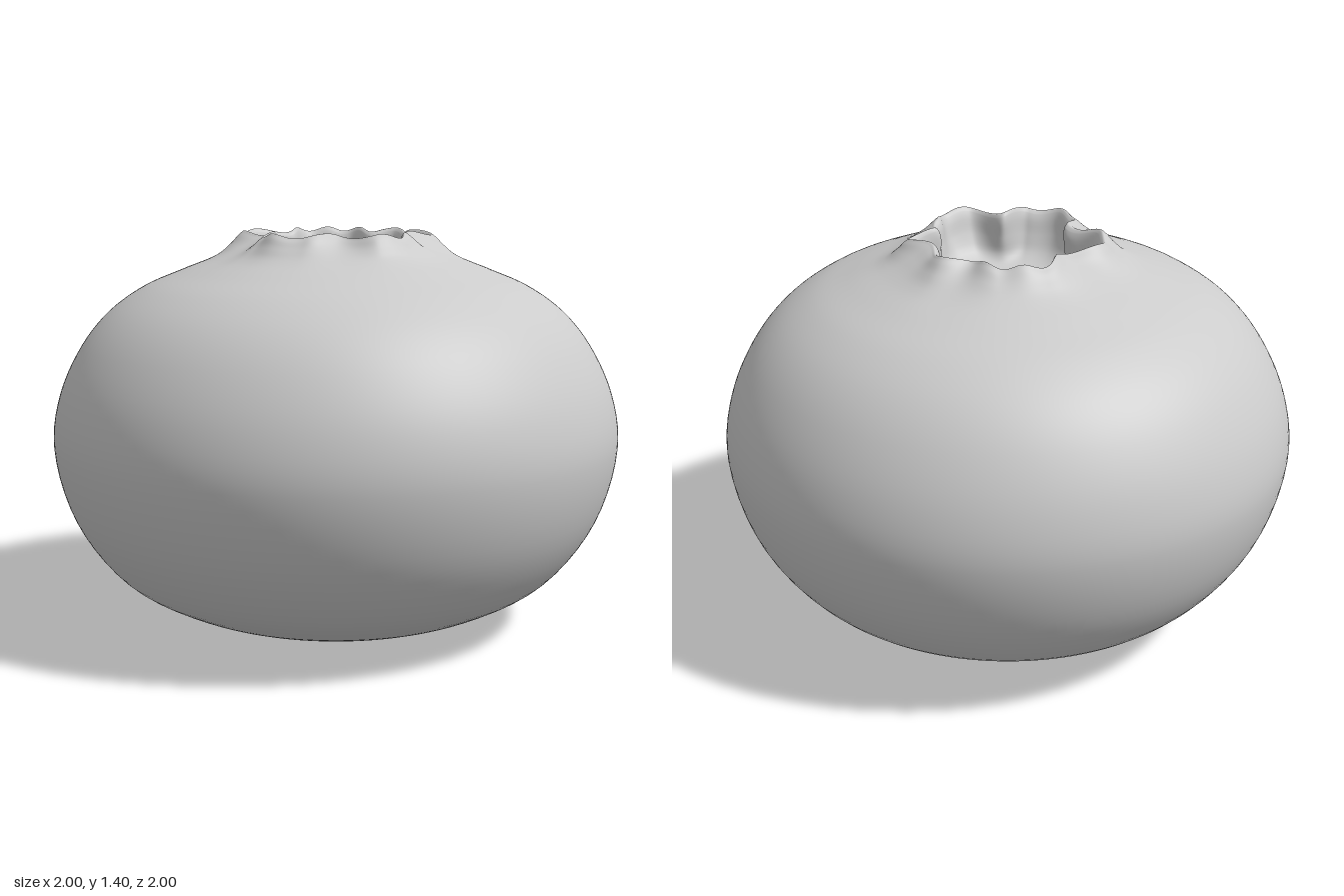
import * as THREE from 'three';
import { mergeVertices } from 'three/addons/utils/BufferGeometryUtils.js';

// Profile from the underside dimple, over the rim, into the crown cup:
// [radius, height, how strongly the ruffle acts]
const PROFILE = [
  [0, 0.03, 0], [0.09, 0.028, 0], [0.11, 0.022, 0], [0.17, 0.004, 0], [0.22, 0, 0],
  [0.32, 0.007, 0], [0.47, 0.04, 0], [0.63, 0.1, 0], [0.79, 0.2, 0], [0.935, 0.4, 0],
  [1, 0.65, 0], [0.975, 0.83, 0], [0.895, 1, 0], [0.8, 1.115, 0], [0.68, 1.2, 0],
  [0.55, 1.256, 0.02], [0.44, 1.298, 0.15], [0.36, 1.345, 0.6], [0.315, 1.38, 0.95],
  [0.3, 1.386, 1], [0.29, 1.374, 1], [0.275, 1.3, 0.75], [0.25, 1.23, 0.3],
  [0.18, 1.195, 0], [0.08, 1.178, 0], [0.025, 1.174, 0], [0.015, 1.182, 0], [0, 1.185, 0],
];

// Crown outline: [angle in degrees from +x towards +z, radius], lobes and notches in turn
const CROWN = [
  [-165, 0.245], [-142, 0.318], [-115, 0.312], [-94, 0.26], [-79, 0.315], [-52, 0.265],
  [-33, 0.335], [-14, 0.258], [2, 0.295], [20, 0.345], [34, 0.345], [55, 0.25],
  [73, 0.325], [90, 0.345], [105, 0.32], [121, 0.235], [144, 0.322], [163, 0.327], [195, 0.245],
];

// Smoothly blended crown radius at an angle
function crownRadius(degrees) {
  const a = degrees < -165 ? degrees + 360 : degrees;
  let i = 0;
  while (i < CROWN.length - 2 && a > CROWN[i + 1][0]) i++;
  const [a0, r0] = CROWN[i];
  const [a1, r1] = CROWN[i + 1];
  return THREE.MathUtils.lerp(r0, r1, THREE.MathUtils.smoothstep(a, a0, a1));
}

export function createModel() {
  const group = new THREE.Group();
  group.name = 'berry';

  const curve = new THREE.CatmullRomCurve3(PROFILE.map((p) => new THREE.Vector3(...p)));
  const points = curve.getPoints((PROFILE.length - 1) * 5);
  points.forEach((p) => { p.x = Math.max(p.x, 0); p.y = Math.max(p.y, 0); });
  points[0].x = points[points.length - 1].x = 0;

  // Turned body, then the rim is pushed in and out into a ruffled crown
  let geometry = new THREE.LatheGeometry(points.map((p) => new THREE.Vector2(p.x, p.y)), 240);
  const pos = geometry.attributes.position;
  for (let i = 0; i < pos.count; i++) {
    const { x: radius, z: weight } = points[i % points.length];
    if (weight <= 0 || radius < 0.1) continue;
    const angle = Math.atan2(pos.getZ(i), pos.getX(i));
    const r = radius + weight * (crownRadius(THREE.MathUtils.radToDeg(angle)) - 0.3);
    const wave = 0.008 * weight * weight * Math.sin(angle * 13 + Math.sin(angle * 3));
    pos.setXYZ(i, r * Math.cos(angle), pos.getY(i) + wave, r * Math.sin(angle));
  }

  // Weld the seam so the shading is continuous
  geometry.deleteAttribute('uv');
  geometry.deleteAttribute('normal');
  geometry = mergeVertices(geometry, 1e-5);
  geometry.computeVertexNormals();

  const body = new THREE.Mesh(geometry, new THREE.MeshStandardMaterial({ color: 0xcccccc }));
  body.name = 'berryBodyWithCrown';
  group.add(body);
  return group;
}
